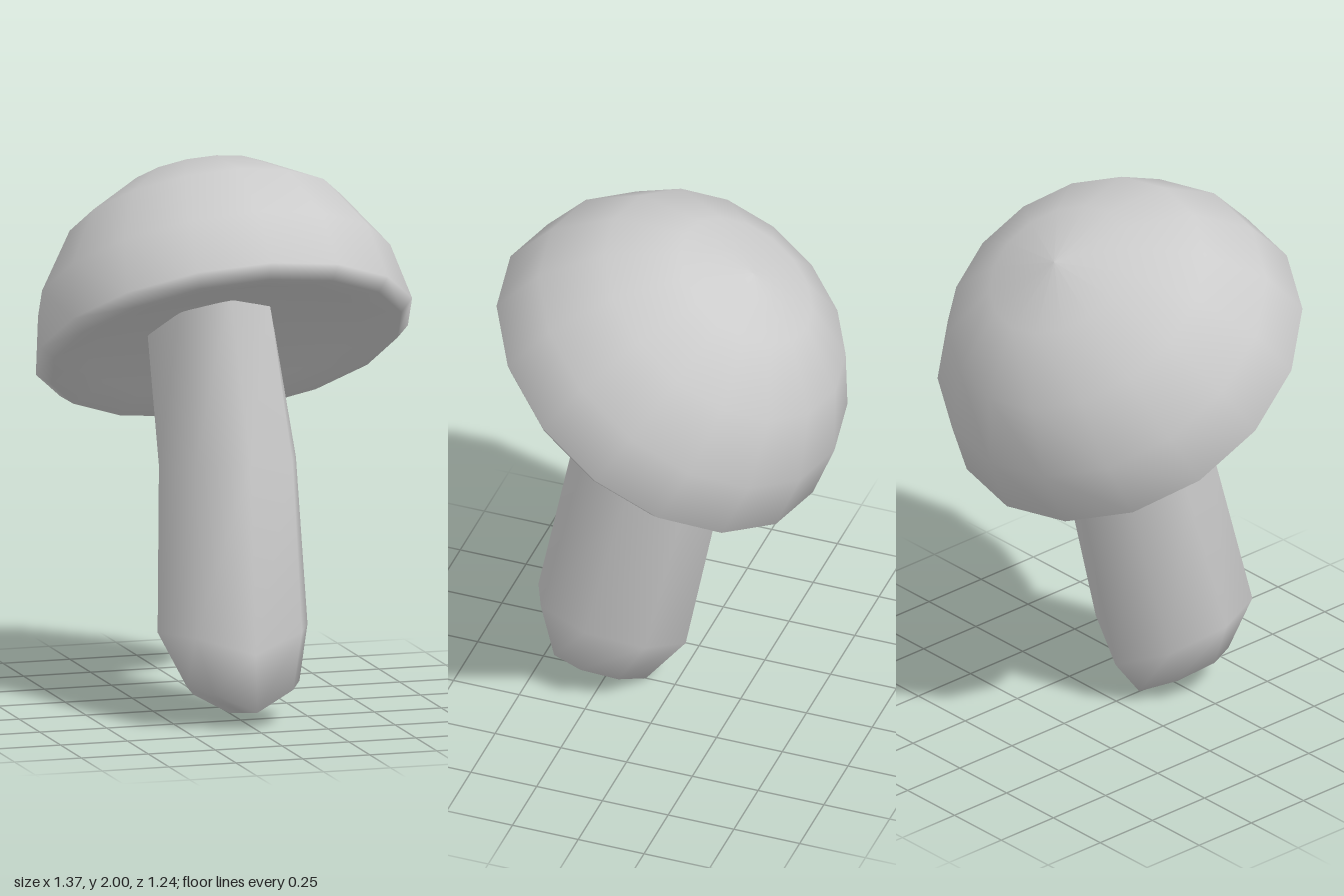
import * as THREE from 'three';

const material = new THREE.MeshStandardMaterial({ color: 0xcccccc });

// Hollowed underside, rolled rim and dome, tipped towards the back
function createCap() {
  const profile = [
    [0, 0.08], [0.27, 0.075], [0.5, 0.035], [0.64, 0],
    [0.687, 0.045], [0.643, 0.262], [0.502, 0.485], [0.275, 0.632], [0, 0.682],
  ].map(([r, y]) => new THREE.Vector2(r, y));
  const cap = new THREE.Mesh(new THREE.LatheGeometry(profile, 16), material);
  cap.name = 'cap';
  cap.position.set(0, 1.32, 0.075);
  cap.rotation.x = -0.579;
  return cap;
}

// Eight-sided leaning stem, lofted through tilted rings
function createStem() {
  const sides = 8;
  // front and back are [z, y]; fold raises the sides so the foot forms a keel
  const rings = [
    { front: [0.455, 0.065], back: [0.11, 0], x: 0, rx: 0.21, fold: 0.5 },
    { front: [0.53, 0.29], back: [-0.03, 0.17], x: -0.03, rx: 0.28, fold: 0.38 },
    { front: [0.39, 0.95], back: [-0.175, 0.88], x: -0.005, rx: 0.256, fold: 0 },
    { front: [0.255, 1.57], back: [-0.235, 1.22], x: -0.04, rx: 0.235, fold: 0 },
  ];
  const positions = [];
  const index = [];
  rings.forEach(({ front, back, x, rx, fold }, k) => {
    for (let i = 0; i < sides; i++) {
      const a = (i / sides) * Math.PI * 2;
      const t = (1 + Math.cos(a)) / 2;
      const dx = Math.sin(a) * rx;
      positions.push(
        x + dx,
        THREE.MathUtils.lerp(back[1], front[1], t) + fold * Math.abs(dx),
        THREE.MathUtils.lerp(back[0], front[0], t),
      );
      if (k === 0) continue;
      const n = (i + 1) % sides;
      const lo = (k - 1) * sides;
      const hi = k * sides;
      index.push(lo + i, lo + n, hi + n, lo + i, hi + n, hi + i);
    }
  });
  // Foot closes on the keel
  const centre = positions.length / 3;
  positions.push(0, 0.0325, 0.2825);
  for (let i = 0; i < sides; i++) index.push(centre, (i + 1) % sides, i);

  const geometry = new THREE.BufferGeometry();
  geometry.setAttribute('position', new THREE.Float32BufferAttribute(positions, 3));
  geometry.setIndex(index);
  geometry.computeVertexNormals();
  const stem = new THREE.Mesh(geometry, material);
  stem.name = 'stem';
  return stem;
}

export function createModel() {
  const mushroom = new THREE.Group();
  mushroom.name = 'mushroom';
  mushroom.add(createCap(), createStem());
  return mushroom;
}
